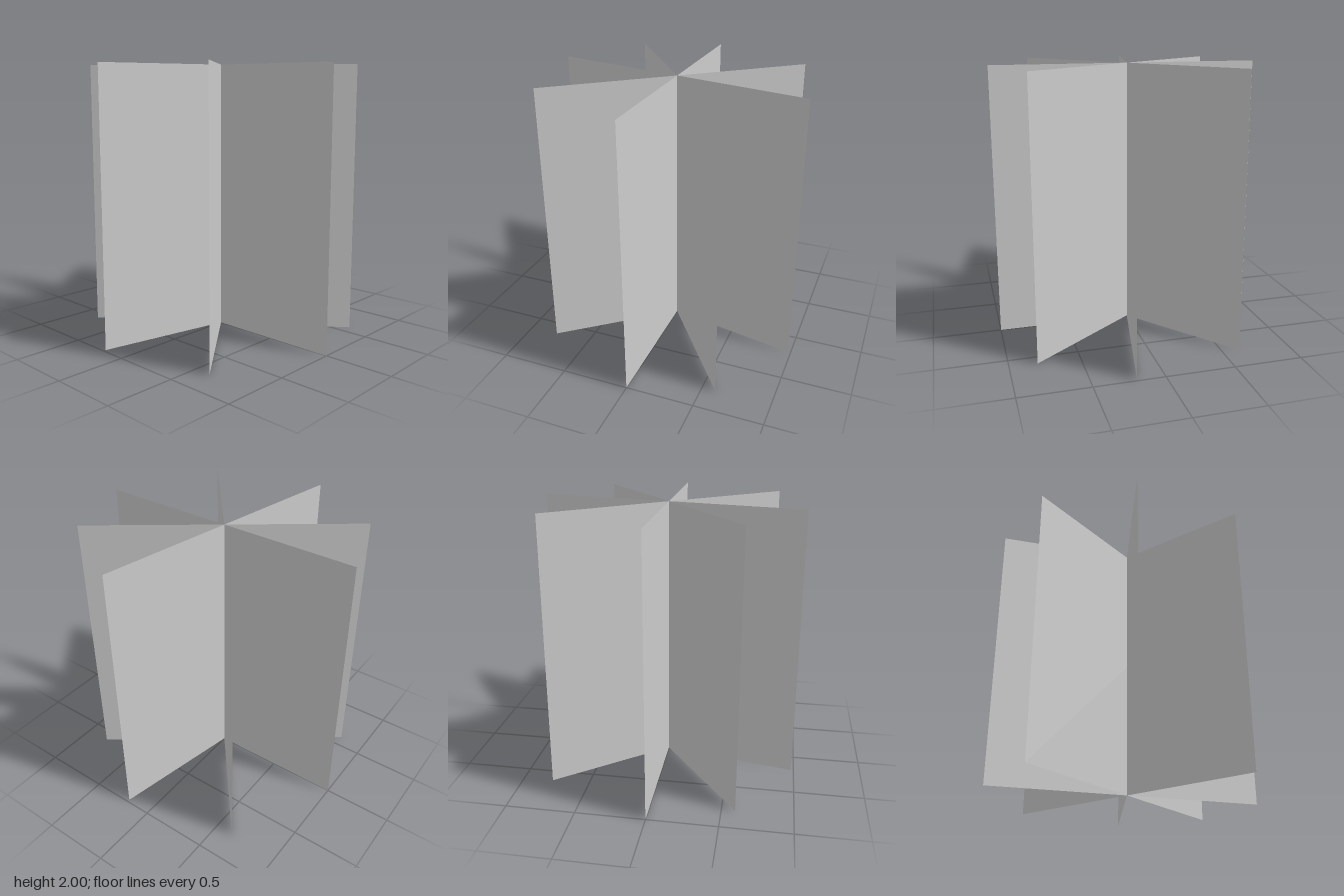
import * as THREE from 'three';

export function createModel() {
  const model = new THREE.Group();
  model.name = 'crossedPanels';

  const material = new THREE.MeshStandardMaterial({
    color: 0xcccccc, flatShading: true, side: THREE.DoubleSide,
  });

  // One upright panel, standing on the ground and centred on the axis
  const panel = new THREE.PlaneGeometry(2, 2).translate(0, 1, 0);

  // Four panels crossing on the vertical axis, in degrees from +x towards +z
  [11.4, 53.4, 90, 141.1].forEach((degrees, i) => {
    const mesh = new THREE.Mesh(panel, material);
    mesh.name = `panel${i + 1}`;
    mesh.rotation.y = -THREE.MathUtils.degToRad(degrees);
    model.add(mesh);
  });

  return model;
}
